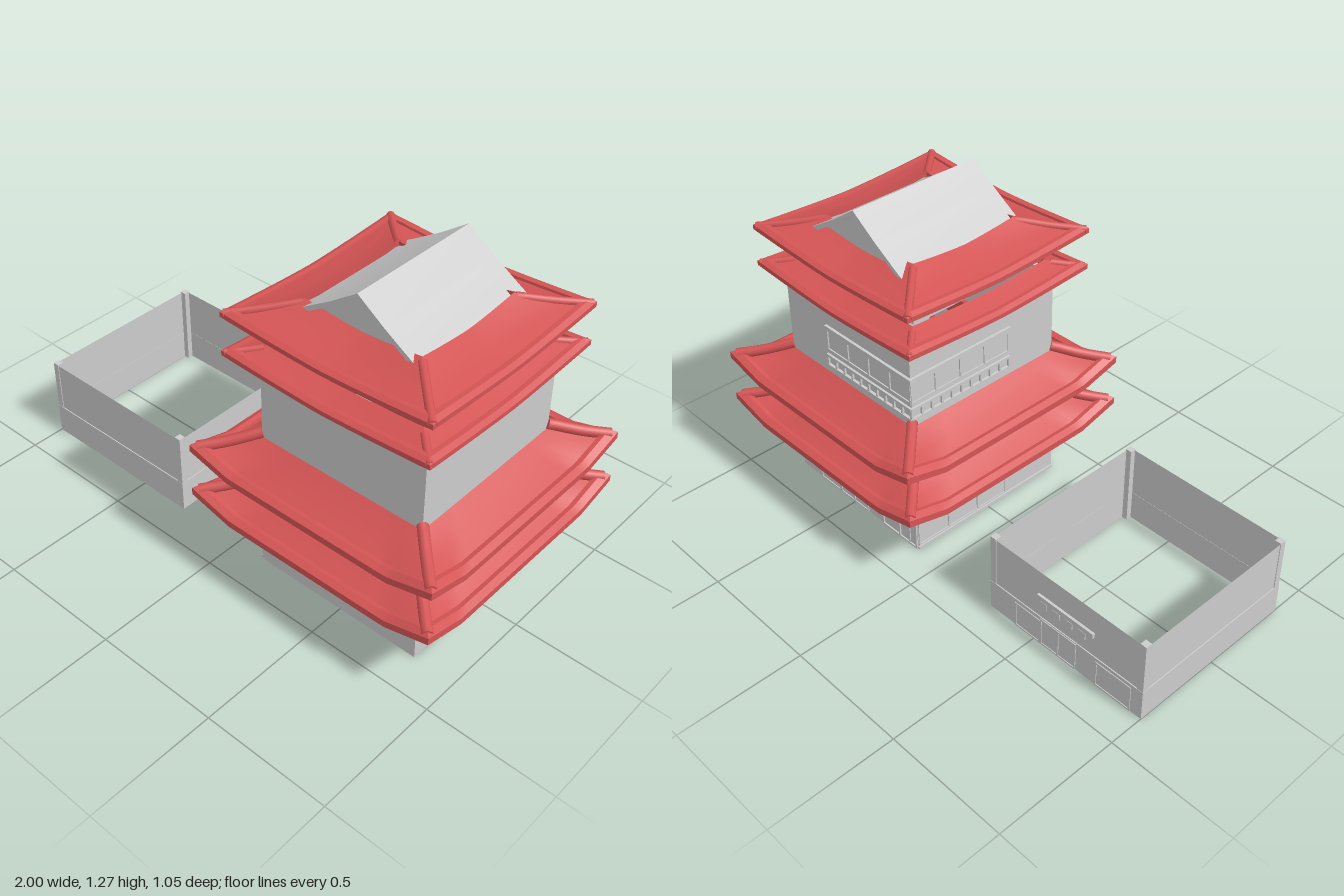
import * as THREE from 'three';
import { toCreasedNormals } from 'three/addons/utils/BufferGeometryUtils.js';

const grey = new THREE.MeshStandardMaterial({ color: 0xcccccc, side: THREE.DoubleSide });
const red = new THREE.MeshStandardMaterial({ color: 0xd45454, side: THREE.DoubleSide });

function add(parent, name, geometry, material = grey) {
  const mesh = new THREE.Mesh(geometry, material);
  mesh.name = name;
  parent.add(mesh);
  return mesh;
}

// box given by its limits
function block(parent, name, x0, x1, y0, y1, z0, z1) {
  const geo = new THREE.BoxGeometry(x1 - x0, y1 - y0, z1 - z0);
  return add(parent, name, geo.translate((x0 + x1) / 2, (y0 + y1) / 2, (z0 + z1) / 2));
}

// square shell of four walls, open above and below
function walls(parent, name, half, y0, y1, z = 0) {
  const geo = new THREE.CylinderGeometry(half * Math.SQRT2, half * Math.SQRT2, y1 - y0, 4, 1, true);
  geo.rotateY(Math.PI / 4).translate(0, (y0 + y1) / 2, z);
  return add(parent, name, toCreasedNormals(geo, 0.3));
}

// one side of a skirt roof: profile points are [distance from centre, height, corner lift]
function roofSide(profile, lift, n = 24) {
  const pos = [], index = [], rows = profile.length;
  for (const [h, y, up] of profile) {
    for (let i = 0; i <= n; i++) {
      const s = -1 + (2 * i) / n;
      pos.push(s * h, y + up * lift(Math.abs(s)), h);
    }
  }
  for (let j = 0; j < rows; j++) {
    for (let i = 0; i < n; i++) {
      const a = j * (n + 1) + i, d = ((j + 1) % rows) * (n + 1) + i;
      index.push(d, d + 1, a + 1, d, a + 1, a);
    }
  }
  const geo = new THREE.BufferGeometry();
  geo.setAttribute('position', new THREE.Float32BufferAttribute(pos, 3));
  geo.setIndex(index);
  return toCreasedNormals(geo, 0.4);
}

// whole skirt roof with four hip ridges; ridge points are [distance, height]
function roof(parent, name, y, z, profile, lift, ridge, radius) {
  const group = new THREE.Group();
  group.name = name;
  group.position.set(0, y, z);
  const side = roofSide(profile, lift);
  const path = new THREE.CatmullRomCurve3(ridge.map(([h, v]) => new THREE.Vector3(h, v, h)));
  const round = new THREE.Shape().absarc(0, 0, radius, 0, Math.PI * 2);
  const hip = toCreasedNormals(new THREE.ExtrudeGeometry(round, { steps: 8, curveSegments: 5, extrudePath: path }), 0.8);
  for (let k = 0; k < 4; k++) {
    add(group, 'roofSide', side, red).rotation.y = (k * Math.PI) / 2;
    add(group, 'hipRidge', hip, red).rotation.y = (k * Math.PI) / 2;
  }
  parent.add(group);
}

// framed panel on a back wall, split into bays
function framedPanel(parent, name, x0, x1, y0, y1, z, bays = 1, t = 0.006) {
  const bar = 0.007;
  for (let i = 0; i <= bays; i++) {
    const x = x0 + ((x1 - x0 - bar) * i) / bays;
    block(parent, name + 'Post', x, x + bar, y0, y1, z - t, z);
  }
  block(parent, name + 'Top', x0, x1, y1 - bar, y1, z - t, z);
  block(parent, name + 'Sill', x0, x1, y0, y0 + bar, z - t, z);
}

// entrance on a back wall: door, side panels and canopy board
function entrance(parent, z) {
  const g = new THREE.Group();
  g.name = 'entrance';
  framedPanel(g, 'sidePanel', 0.11, 0.235, 0, 0.11, z, 1, 0.004);
  framedPanel(g, 'door', -0.06, 0.11, 0, 0.12, z, 2, 0.004);
  framedPanel(g, 'sidePanel', -0.31, -0.15, 0, 0.11, z, 1, 0.004);
  block(g, 'canopyBoard', -0.14, 0.12, 0.215, 0.235, z - 0.01, z);
  for (let i = 0; i < 4; i++) {
    const x = -0.1 + i * 0.06;
    block(g, 'hangingBoard', x, x + 0.03, 0.175, 0.205, z - 0.004, z);
  }
  parent.add(g);
}

// window band above a small railing on a back wall
function windowBand(parent, x0, x1, z) {
  const g = new THREE.Group();
  g.name = 'windowBand';
  framedPanel(g, 'window', x0, x1, 0.675, 0.765, z, 4);
  block(g, 'windowHood', x0 - 0.005, x1, 0.765, 0.785, z - 0.012, z);
  block(g, 'railingTop', x0, x1, 0.65, 0.66, z - 0.012, z - 0.003);
  block(g, 'railingBase', x0, x1, 0.605, 0.615, z - 0.012, z);
  for (let i = 0; i <= 10; i++) {
    const x = x0 + ((x1 - x0 - 0.008) * i) / 10;
    block(g, 'railingPost', x, x + 0.008, 0.61, 0.655, z - 0.011, z - 0.003);
  }
  parent.add(g);
  return g;
}

function buildTower() {
  const tower = new THREE.Group();
  tower.name = 'tower';

  // storeys
  walls(tower, 'groundStorey', 0.353, 0, 0.3);
  walls(tower, 'betweenLowerRoofs', 0.352, 0.36, 0.5);
  walls(tower, 'middleStorey', 0.347, 0.56, 0.905);
  walls(tower, 'upperStorey', 0.305, 0.957, 1.06, 0.02);
  walls(tower, 'upperCornice', 0.328, 1.045, 1.065, 0.02);

  // two wide lower roofs with sharply raised corners
  const lower = [[0.343, 0.115, 0], [0.38, 0.09, 0.004], [0.43, 0.06, 0.018], [0.48, 0.035, 0.04],
    [0.483, 0.046, 0.042], [0.5, 0.05, 0.045], [0.523, 0.038, 0.047], [0.523, 0.012, 0.045],
    [0.495, 0.002, 0.04], [0.472, 0.014, 0.025], [0.47, 0, 0.01], [0.44, 0.003, 0.008],
    [0.44, 0.02, 0.008], [0.36, 0.03, 0], [0.33, 0.03, 0], [0.33, 0.11, 0]];
  const sharp = a => Math.max(0, (a - 0.66) / 0.34);
  const lowerRidge = [[0.345, 0.133], [0.43, 0.098], [0.505, 0.078]];
  roof(tower, 'lowestRoof', 0.265, 0, lower, sharp, lowerRidge, 0.02);
  roof(tower, 'secondRoof', 0.46, 0, lower, sharp, lowerRidge, 0.02);

  // two upper roofs with gently curved eaves
  const eave = [[0.39, 0.02, 0.022], [0.392, 0.029, 0.022], [0.41, 0.031, 0.022], [0.428, 0.022, 0.022],
    [0.428, 0.005, 0.02], [0.405, 0, 0.016], [0.385, 0.01, 0.012], [0.37, 0.004, 0.01], [0.33, 0.012, 0.01]];
  const gentle = a => a ** 1.4;
  roof(tower, 'thirdRoof', 0.903, 0.017, [[0.315, 0.045, 0.015], [0.35, 0.032, 0.018], ...eave, [0.315, 0.03, 0.012]],
    gentle, [[0.33, 0.05], [0.38, 0.041], [0.42, 0.036]], 0.014);
  roof(tower, 'topRoof', 1.053, 0.017, [[0.235, 0.068, 0.02], [0.29, 0.046, 0.02], [0.34, 0.032, 0.02], ...eave, [0.235, 0.055, 0.018]],
    gentle, [[0.24, 0.074], [0.33, 0.053], [0.42, 0.038]], 0.015);

  // gabled ridge roof with recessed end walls
  const slope = [[0.29, 1.088], [0.22, 1.128], [0.11, 1.197], [0, 1.275]];
  const upper = [...slope, ...slope.slice(0, 3).reverse().map(([x, y]) => [-x, y])];
  const under = upper.map(([x, y]) => [x, y - 0.02]);
  const toShape = pts => new THREE.Shape(pts.map(([x, y]) => new THREE.Vector2(x, y)));
  const cover = new THREE.ExtrudeGeometry(toShape([...upper, ...under.slice().reverse()]), { depth: 0.56, bevelEnabled: false });
  add(tower, 'gableRoof', toCreasedNormals(cover.translate(0, 0, -0.28), 0.25));
  const end = new THREE.ExtrudeGeometry(toShape(under), { depth: 0.5, bevelEnabled: false });
  add(tower, 'gableEnds', end.translate(0, 0, -0.25));

  // windows wrapping the back corner of the middle storey
  windowBand(tower, -0.355, 0.12, -0.346);
  const sideWindows = windowBand(tower, -0.12, 0.355, -0.346);
  sideWindows.rotation.y = Math.PI / 2;

  // ground storey entrance, side shutters and sill
  entrance(tower, -0.353);
  framedPanel(tower, 'cornerDoor', -0.35, -0.15, 0, 0.16, -0.353, 2);
  const shutters = new THREE.Group();
  shutters.name = 'sideShutters';
  shutters.rotation.y = Math.PI / 2;
  framedPanel(shutters, 'shutter', -0.1, 0.35, 0.015, 0.16, -0.353, 3, 0.004);
  block(shutters, 'sill', -0.35, 0.355, 0, 0.012, -0.36, -0.353);
  tower.add(shutters);
  return tower;
}

function buildEnclosure() {
  const yard = new THREE.Group();
  yard.name = 'enclosure';
  walls(yard, 'enclosureWalls', 0.356, 0, 0.33);

  // slightly proud dado around the foot
  walls(yard, 'dado', 0.36, 0, 0.125);
  for (let k = 0; k < 4; k++) {
    const ledge = block(yard, 'dadoLedge', -0.36, 0.36, 0.122, 0.125, 0.355, 0.36);
    ledge.rotation.y = (k * Math.PI) / 2;
  }

  // inner corner posts
  for (const sx of [-1, 1]) {
    for (const sz of [-1, 1]) {
      const x = sx * 0.346, z = sz * 0.346;
      block(yard, 'cornerPost', x - 0.013, x + 0.013, 0, 0.335, z - 0.013, z + 0.013);
    }
  }
  entrance(yard, -0.359);
  return yard;
}

export function createModel() {
  const model = new THREE.Group();
  model.name = 'pagodaSet';
  const tower = buildTower();
  tower.position.x = 0.478;
  const yard = buildEnclosure();
  yard.position.x = -0.64;
  model.add(tower, yard);
  return model;
}
